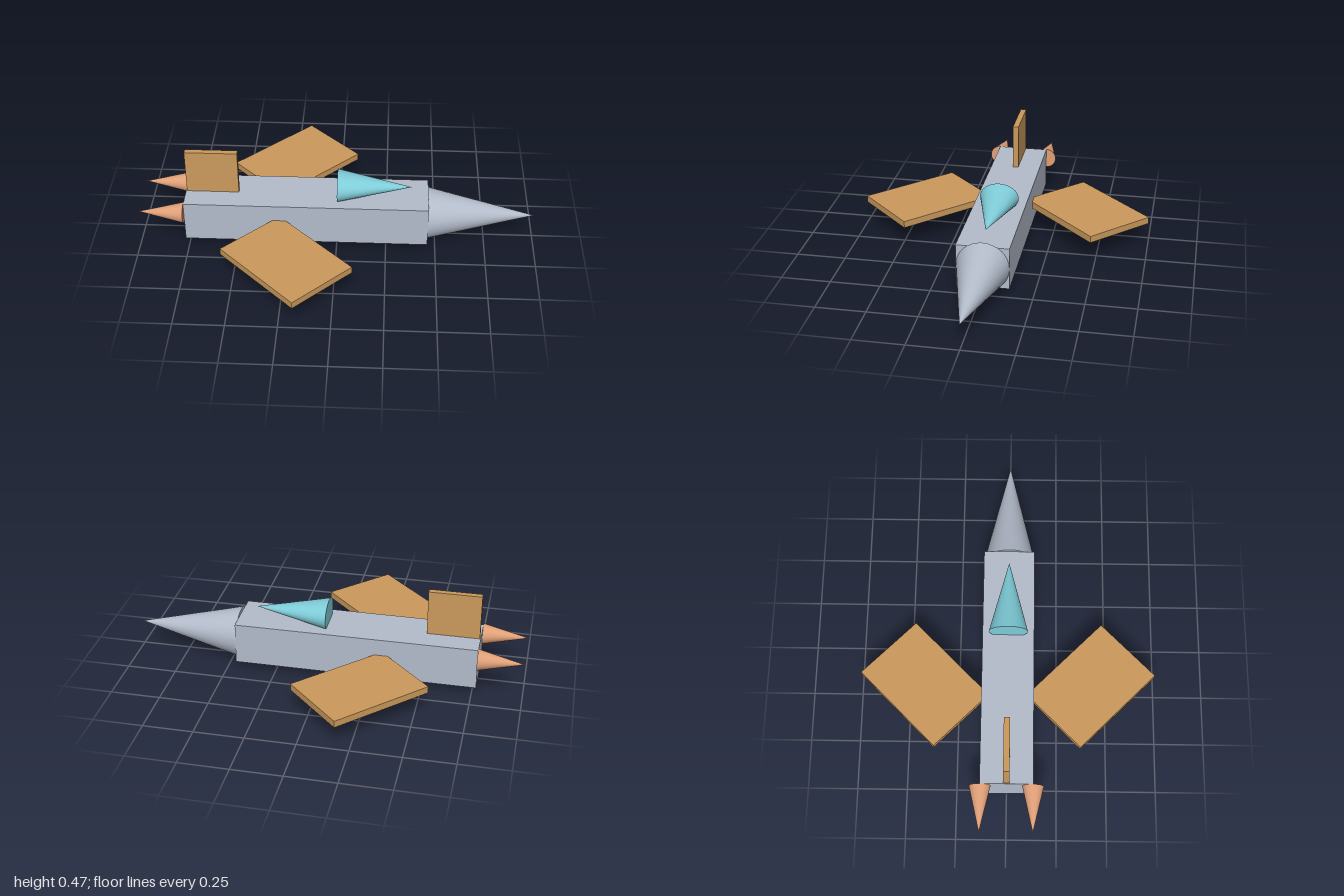
import * as THREE from 'three';

export function createModel() {
  const model = new THREE.Group();
  const paint = (name, color) => {
    const m = new THREE.MeshStandardMaterial({ color });
    m.name = name;
    return m;
  };
  const hullGrey = paint('hull grey', 0xb4bccb);
  const wingTan = paint('wing tan', 0xcb9a5c);
  const canopyTeal = paint('canopy teal', 0x7fcdd9);
  const flameOrange = paint('flame orange', 0xe0a078);

  function add(name, geometry, material, x, y, z) {
    const mesh = new THREE.Mesh(geometry, material);
    mesh.name = name;
    mesh.position.set(x, y, z);
    model.add(mesh);
    return mesh;
  }

  // Cone lying along x, base at x = 0 and tip at x = length (negative points back)
  function coneX(length, ry, rz) {
    const g = new THREE.ConeGeometry(1, Math.abs(length), 32);
    g.translate(0, Math.abs(length) / 2, 0);
    g.rotateZ(length > 0 ? -Math.PI / 2 : Math.PI / 2);
    g.scale(1, ry, rz);
    return g;
  }

  // Fuselage and nose
  add('fuselage', new THREE.BoxGeometry(1.23, 0.215, 0.262), hullGrey, -0.155, 0.132, 0);
  add('noseCone', coneX(0.54, 0.131, 0.131), hullGrey, 0.46, 0.131, 0);

  // Flattened cockpit canopy, sunk into the top
  add('canopy', coneX(0.375, 0.075, 0.099), canopyTeal, 0, 0.288, 0);

  // Upright tail fin
  add('tailFin', new THREE.BoxGeometry(0.265, 0.265, 0.03), wingTan, -0.633, 0.341, 0);

  // Mirrored wings and exhaust flames
  for (const side of [1, -1]) {
    const label = side > 0 ? 'front' : 'rear';
    const wing = add(label + 'Wing', new THREE.BoxGeometry(0.538, 0.035, 0.382), wingTan, -0.235, 0.135, side * 0.422);
    wing.rotation.y = -side * Math.PI / 4;
    add(label + 'Flame', coneX(-0.23, 0.053, 0.053), flameOrange, -0.77, 0.188, side * 0.131);
  }

  return model;
}
